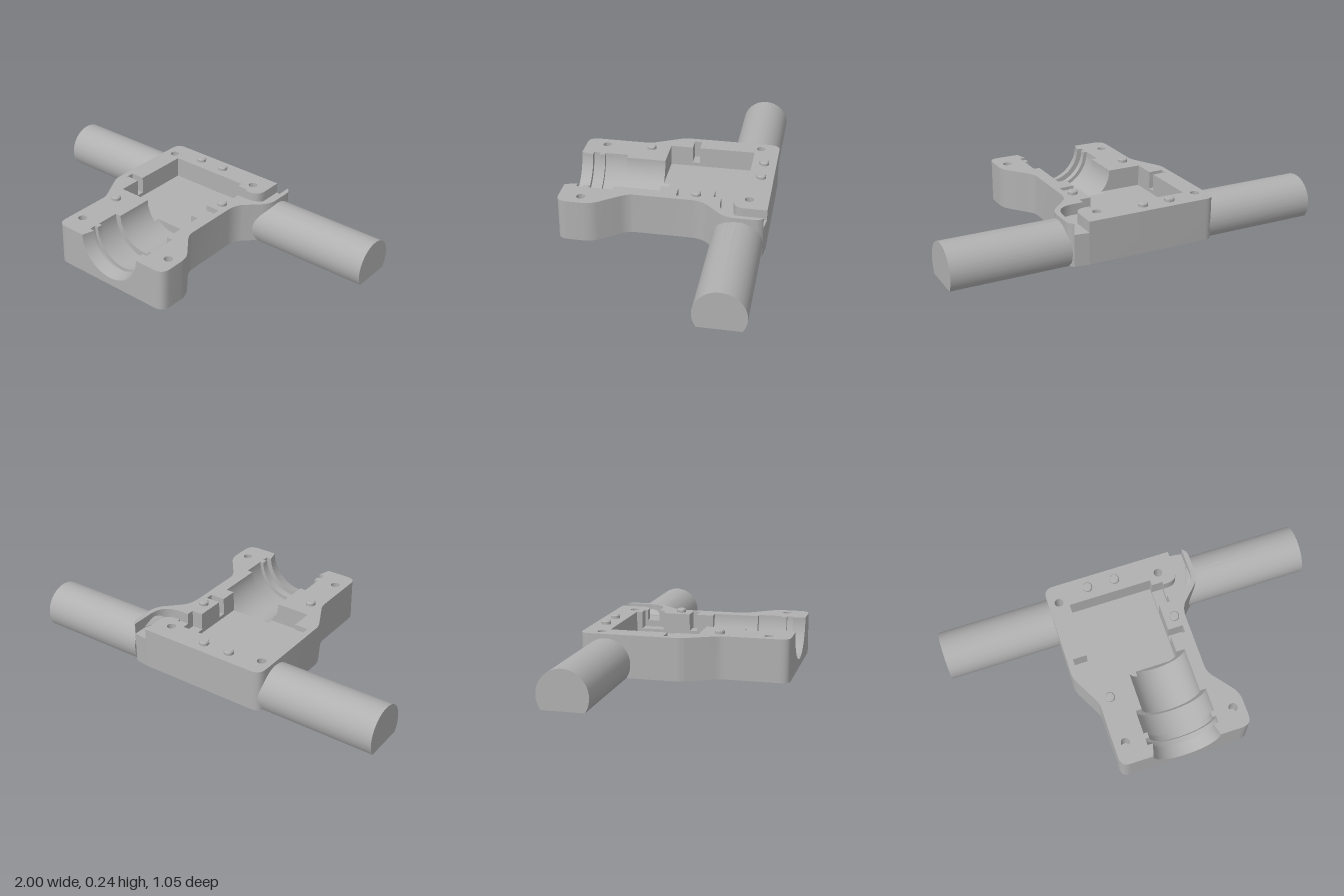
import * as THREE from 'three';
import { toCreasedNormals, mergeGeometries } from 'three/addons/utils/BufferGeometryUtils.js';

const TOP = 0.222, FLOOR = 0.11, STEP = 0.13, CHANNEL = 0.165;
const CX = 0.0475, R0 = 0.158, FRONT = 0.525, BACK = -0.53;

const grey = new THREE.MeshStandardMaterial({ color: 0xb0b0b0, side: THREE.DoubleSide });
grey.name = 'grey plastic';

// Points of a plan path; commands are [x, z] lines or [cx, cz, x, z] curves
function plan(...commands) {
  const path = new THREE.Path();
  path.moveTo(...commands[0]);
  for (const c of commands.slice(1)) {
    if (c.length === 2) path.lineTo(...c);
    else path.quadraticCurveTo(...c);
  }
  return path.getPoints(8).map((p) => [p.x, p.y]);
}

// Vertical wall along plan points, facing right of travel as seen from above
function wall(points, y0, y1 = TOP) {
  const pos = [];
  for (let i = 0; i + 1 < points.length; i++) {
    const [ax, az] = points[i], [bx, bz] = points[i + 1];
    pos.push(ax, y0, az, bx, y0, bz, bx, y1, bz, ax, y0, az, bx, y1, bz, ax, y1, az);
  }
  const g = new THREE.BufferGeometry();
  g.setAttribute('position', new THREE.Float32BufferAttribute(pos, 3));
  return toCreasedNormals(g, 0.6);
}

// Horizontal face from plan points, with optional round holes
function flat(points, y, holes = [], down = false) {
  const s = down ? 1 : -1;
  const shape = new THREE.Shape(points.map(([x, z]) => new THREE.Vector2(x, s * z)));
  for (const [x, z, r] of holes) {
    const hole = new THREE.Path();
    hole.absarc(x, s * z, r, 0, Math.PI * 2, true);
    shape.holes.push(hole);
  }
  return new THREE.ShapeGeometry(shape, 16).rotateX(s * Math.PI / 2).translate(0, y, 0);
}

// Upright face in x, y at a given z
function upright(points, z) {
  return new THREE.ShapeGeometry(new THREE.Shape(points.map((p) => new THREE.Vector2(...p)))).translate(0, 0, z);
}

// Lower arc of the bore from angle a to b, measured from straight down towards +x
function boreArc(r, a, b) {
  return Array.from({ length: 33 }, (_, i) => {
    const t = a + (b - a) * i / 32;
    return [CX + r * Math.sin(t), TOP - r * Math.cos(t)];
  });
}

// Half-round trough surface, seen from inside
function trough(profile, a, b) {
  const pts = profile.map(([r, z]) => new THREE.Vector2(r, z)).reverse();
  const g = new THREE.LatheGeometry(pts, 40, a, b - a).rotateX(Math.PI / 2).translate(CX, TOP, 0);
  return toCreasedNormals(g, 0.6);
}

export function createModel() {
  const model = new THREE.Group();
  const add = (name, ...geometries) => {
    const clean = geometries.map((g) => {
      const n = g.index ? g.toNonIndexed() : g;
      n.deleteAttribute('uv');
      return n;
    });
    const mesh = new THREE.Mesh(clean.length > 1 ? mergeGeometries(clean) : clean[0], grey);
    mesh.name = name;
    model.add(mesh);
    return mesh;
  };

  // Outer outline, split by the bore at the front and the channel at the back
  const rightOuter = plan([0.345, FRONT], [0.397, FRONT, 0.397, 0.47], [0.397, 0.39],
    [0.397, 0.345, 0.37, 0.31], [0.3, 0.22], [0.272, 0.185, 0.272, 0.15], [0.272, -0.14],
    [0.272, -0.19, 0.3, -0.225], [0.375, -0.3], [0.405, -0.335, 0.405, -0.38],
    [0.405, -0.475], [0.403, -0.505, 0.38, -0.52]);
  const leftOuter = plan([0.305, BACK], [-0.345, BACK], [-0.397, BACK, -0.397, -0.478],
    [-0.397, -0.03], [-0.397, -0.005, -0.385, 0.02], [-0.318, 0.15],
    [-0.305, 0.175, -0.305, 0.2], [-0.305, 0.47], [-0.305, FRONT, -0.255, FRONT]);

  // Cable channel and its wider mouth at the pocket
  const channelOuter = plan([0.38, -0.52], [0.38, -0.39], [0.375, -0.295, 0.28, -0.29], [0.22, -0.29]);
  const channelInner = plan([0.22, -0.355], [0.24, -0.355], [0.305, -0.355, 0.305, -0.42], [0.305, BACK]);
  const mouthOuter = [[0.22, -0.29], [0.22, -0.25], [0.16, -0.25]];
  const mouthInner = [[0.16, -0.37], [0.22, -0.37], [0.22, -0.355]];

  // Pocket walls and side slots
  const rightA = [[0.16, -0.25], [0.16, -0.1]];
  const rightSlot = [[0.16, -0.1], [0.24, -0.1], [0.24, -0.06], [0.16, -0.06]];
  const rightB = [[0.16, -0.06], [0.16, 0.03]];
  const leftA = [[-0.29, 0.06], [-0.29, -0.06]];
  const leftSlot = [[-0.29, -0.06], [-0.365, -0.06], [-0.365, -0.1], [-0.29, -0.1]];
  const leftB = [[-0.29, -0.1], [-0.29, -0.4], [0.16, -0.4], [0.16, -0.37]];

  // Stepped bore profile: radius, z
  const bore = [[R0, 0.06], [R0, 0.27], [0.19, 0.27], [0.19, 0.395], [0.17, 0.395],
    [0.17, 0.425], [0.19, 0.425], [0.19, 0.46], [0.162, 0.46], [0.18, FRONT]];
  const boreRight = [[R0, 0.03], ...bore].map(([r, z]) => [CX + r, z]);
  const boreLeft = bore.map(([r, z]) => [CX - r, z]).reverse();

  // Body shell
  add('bodySides', wall(rightOuter, 0), wall(leftOuter, 0), wall([[0.38, -0.52], [0.305, BACK]], 0, CHANNEL));
  add('bodyBottom', flat([...rightOuter, ...leftOuter], 0, [], true));
  add('bodyFront', upright([[-0.255, 0], [0.345, 0], [0.345, TOP],
    ...boreArc(0.18, Math.PI / 2, -Math.PI / 2), [-0.255, TOP]], FRONT));

  // Top rims with screw holes
  const H = 0.023;
  const leftHoles = [[-0.34, -0.43, H], [0.215, -0.43, H], [-0.245, 0.41, H]];
  const rightHoles = [[0.335, 0.41, H]];
  add('rightRim', flat([...rightOuter, ...channelOuter, ...mouthOuter, ...rightA, ...rightSlot,
    ...rightB, ...boreRight], TOP, rightHoles));
  add('leftRim', flat([...leftOuter, ...boreLeft, ...leftA, ...leftSlot, ...leftB,
    ...mouthInner, ...channelInner], TOP, leftHoles));
  for (const [x, z, r] of [...leftHoles, ...rightHoles]) {
    add('screwHole',
      new THREE.CylinderGeometry(r, r, 0.1, 24, 1, true).scale(-1, 1, 1).translate(x, TOP - 0.05, z),
      new THREE.CircleGeometry(r, 24).rotateX(-Math.PI / 2).translate(x, TOP - 0.1, z));
  }

  // Pocket
  const cut = -Math.acos((TOP - FLOOR) / R0);
  const cutX = CX + R0 * Math.sin(cut);
  add('pocketWalls', ...[rightA, rightB, leftA, leftB].map((p) => wall(p, FLOOR)),
    upright([[-0.29, FLOOR], ...boreArc(R0, cut, -Math.PI / 2), [-0.29, TOP]], 0.06));
  add('pocketFloor', flat([[-0.29, -0.4], [-0.29, 0.06], [cutX, 0.06], [cutX, 0.03],
    [0.16, 0.03], [0.16, -0.4]], FLOOR));
  for (const slot of [rightSlot, leftSlot]) {
    add('sideSlot', wall(slot, STEP), flat(slot, STEP), wall([slot[0], slot[3]], FLOOR, STEP));
  }

  // Channel leading out of the back
  add('channelMouth', wall(mouthOuter, STEP), wall(mouthInner, STEP),
    flat([...mouthOuter, ...mouthInner], STEP), wall([[0.16, -0.25], [0.16, -0.37]], FLOOR, STEP),
    wall([[0.22, -0.29], [0.22, -0.355]], STEP, CHANNEL));
  add('cableChannel', wall(channelOuter, CHANNEL), wall(channelInner, CHANNEL),
    flat([...channelOuter, ...channelInner], CHANNEL));

  // Half-round bore, running a little way under the pocket
  add('bore', trough(bore, -Math.PI / 2, Math.PI / 2),
    trough([[R0, 0.03], [R0, 0.06]], cut, Math.PI / 2),
    upright([...boreArc(R0, cut, Math.PI / 2), [0.16, TOP], [0.16, FLOOR]], 0.03));

  // Locating pins with a small chamfer
  const pin = [[0.025, 0], [0.025, 0.014], [0.02, 0.02], [0, 0.02]].map((p) => new THREE.Vector2(...p));
  for (const [x, z] of [[-0.17, -0.465], [-0.02, -0.465], [0.215, -0.16], [-0.245, 0.16]]) {
    add('locatingPin', toCreasedNormals(new THREE.LatheGeometry(pin, 24), 0.6)).position.set(x, TOP, z);
  }

  // Side bars: round with a flat underside; the inner end follows the body outline
  const r = 0.128, cy = 0.072, cz = -0.393, a = Math.asin(cy / r);
  const section = new THREE.Shape();
  section.absarc(0, cy, r, -a, Math.PI + a, false);
  section.closePath();
  for (const side of [1, -1]) {
    const g = new THREE.ExtrudeGeometry(section, { depth: 1, bevelEnabled: false, curveSegments: 48 });
    g.rotateY(side * Math.PI / 2).translate(0, 0, cz);
    const p = g.attributes.position;
    for (let i = 0; i < p.count; i++) {
      const inner = side > 0 ? 0.39 - Math.max(0, p.getZ(i) + 0.36) * 1.2 : 0.37;
      if (Math.abs(p.getX(i)) < 0.5) p.setX(i, side * inner);
    }
    add(side > 0 ? 'leftBar' : 'rightBar', toCreasedNormals(g, 0.6));
  }
  return model;
}
